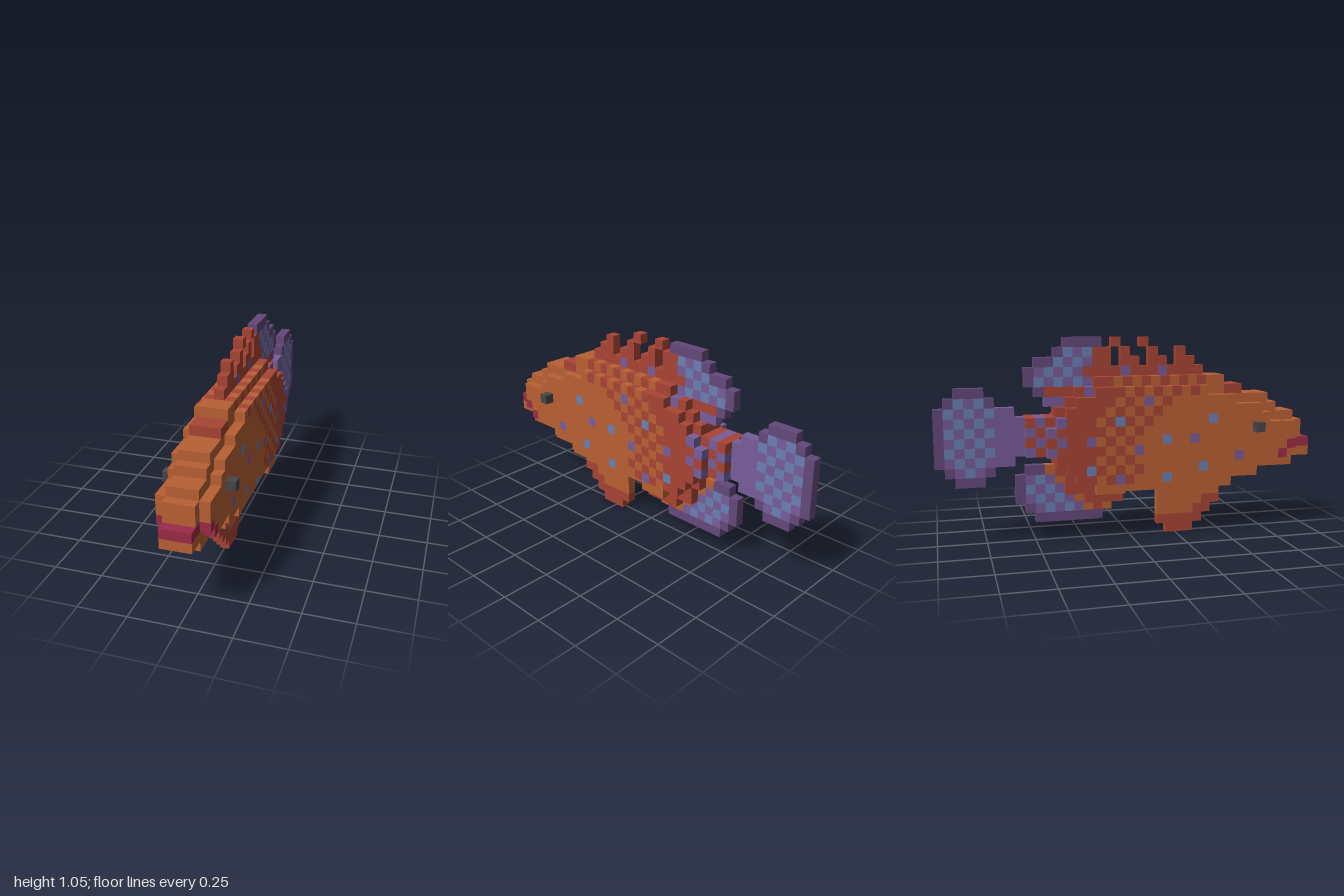
import * as THREE from 'three';

const S = 0.05; // cube size; column i runs from nose (0) to tail (39), row j runs upward

const mat = (name, color) => Object.assign(new THREE.MeshStandardMaterial({ color }), { name });
const materials = [
  mat('orange', 0xb96033), mat('red', 0xa84434), mat('crimson', 0x9c2b47), mat('purple', 0x785c9a),
  mat('darkPurple', 0x64487a), mat('blue', 0x6b7fb3), mat('charcoal', 0x464646),
];
const [ORANGE, RED, CRIMSON, PURPLE, DARK, BLUE, CHARCOAL] = materials.keys();

// Runs of columns: [first column, bottom row, top row (exclusive)], ending at column "end"
const core = { end: 31, runs: [[0, 8, 10], [1, 8, 12], [2, 7, 13], [4, 7, 14], [5, 7, 15], [6, 6, 15], [8, 6, 16],
  [9, 5, 16], [10, 5, 17], [21, 4, 17], [24, 4, 16], [25, 5, 16], [26, 5, 15], [27, 7, 14], [28, 9, 13]] };
const flank = { end: 29, runs: [[2, 9, 12], [3, 8, 12], [5, 8, 13], [6, 8, 14], [7, 7, 14], [9, 7, 15], [10, 6, 15],
  [12, 6, 16], [21, 5, 16], [24, 6, 15], [26, 7, 14], [27, 8, 13], [28, 9, 12]] };
const dorsal = { end: 23, runs: [[12, 17, 18], [13, 17, 19], [14, 17, 20], [15, 17, 18], [16, 17, 19], [17, 17, 20],
  [18, 17, 18], [19, 17, 19], [20, 17, 20], [21, 17, 18], [22, 17, 20]] };
const upper = { end: 31, runs: [[23, 14, 21], [27, 14, 20], [28, 14, 19], [29, 15, 19], [30, 16, 18]] };
const lower = { end: 32, runs: [[21, 4, 8], [22, 3, 8], [23, 2, 8], [30, 3, 8], [31, 4, 7]] };
const pelvic = { end: 17, runs: [[10, 3, 5], [11, 2, 5], [12, 1, 5], [13, 0, 5], [16, 1, 5]] };
const tail = { end: 40, runs: [[28, 9, 13], [32, 8, 14], [34, 7, 15], [35, 6, 16], [38, 7, 15], [39, 8, 14]] };

const inside = ({ end, runs }, i, j) => {
  if (i < runs[0][0] || i >= end) return false;
  const run = runs.findLast((r) => r[0] <= i);
  return j >= run[1] && j < run[2];
};
const checker = (i, j, a, b) => ((i + j) % 2 ? a : b);
const outline = (p, i, j) => !(inside(p, i + 1, j) && inside(p, i, j + 1) && inside(p, i, j - 1));

// Scattered scale spots
const spots = {};
[[8, 8], [13, 10], [19, 9], [18, 14], [24, 16], [24, 15], [24, 10], [16, 17], [20, 17], [21, 6], [27, 10], [27, 12], [28, 11]]
  .forEach((s) => { spots[s] = PURPLE; });
[[11, 12], [16, 10], [12, 7], [16, 6], [21, 12], [24, 7]].forEach((s) => { spots[s] = BLUE; });

// Colour rules for each part
function bodyColour(x, i, j) {
  if ((j === 9 && i < 3) || (j === 8 && i === 3)) return CRIMSON;
  if (spots[[i, j]] !== undefined) return spots[[i, j]];
  if (i >= 28) return checker(i, j, PURPLE, RED);
  if (j === 15 && (i === 8 || i === 9)) return RED;
  if (j === 16) return i < 11 ? ORANGE : i < 22 ? checker(i, j, ORANGE, RED) : RED;
  if (j < 6) return i < 21 ? ORANGE : j === 5 && i < 24 ? ORANGE : RED;
  if (j === 15 && i >= 12 && i < 20) return checker(i, j, ORANGE, RED);
  if (i < 19 - Math.max(0, j - 11)) return ORANGE;
  return i < 24 - Math.max(0, j - 13) ? checker(i, j, ORANGE, RED) : RED;
}
const dorsalColour = (x, i, j) => spots[[i, j]] ?? RED;
function upperColour(x, i, j) {
  if (outline(upper, i, j) && j > 14 && (i > 26 || j === 20)) return DARK;
  if (j === 14 && i > 26) return PURPLE;
  if (i - 23 < (20 - j) * 0.6 - 0.5 || j < 16) return spots[[i, j]] ?? RED;
  return checker(i, j, BLUE, PURPLE);
}
function lowerColour(x, i, j) {
  if ((j === 2 && i > 22) || (i > 28 && outline(lower, i, j))) return DARK;
  const d = i + (3 - j) * 1;
  if (d < 23) return ORANGE;
  if (d < 25) return checker(i, j, ORANGE, RED);
  return i + j < 28 ? RED : checker(i, j, BLUE, PURPLE);
}
const pelvicColour = (x, i, j) => (j < 2 || (i + j <= 14 && j < 4) ? RED : ORANGE);
function tailColour(x, i, j) {
  if (i < 31) return checker(i, j, PURPLE, RED);
  if (i < 34) return PURPLE;
  return outline(tail, i, j) ? DARK : checker(i, j, BLUE, PURPLE);
}

// Later parts yield to cubes already filled by earlier ones
const parts = [
  { name: 'body', colour: bodyColour, layers: [[0, core], [1, core], [-1, core], [2, flank], [-2, flank]] },
  { name: 'dorsalFin', colour: dorsalColour, layers: [[0, dorsal]], extra: [[0, 18, 20], [0, 21, 20]] },
  { name: 'upperRearFin', colour: upperColour, layers: [[0, upper]] },
  { name: 'lowerRearFin', colour: lowerColour, layers: [[0, lower]] },
  { name: 'pelvicFin', colour: pelvicColour, layers: [[0, pelvic]] },
  { name: 'tailFin', colour: tailColour, layers: [[0, tail]] },
  { name: 'eyes', colour: () => CHARCOAL, layers: [], extra: [[3, 6, 11], [-3, 6, 11]] },
];

// Exposed cube faces of one part, sorted into one geometry group per colour
function cubeMesh(part, cells, filled) {
  const buckets = materials.map(() => ({ pos: [], nor: [] }));
  for (const [x, i, j] of cells) {
    const centre = new THREE.Vector3(x * S, (j + 0.5) * S, 1 - (i + 0.5) * S);
    const { pos, nor } = buckets[part.colour(x, i, j)];
    for (let axis = 0; axis < 3; axis++) for (const s of [1, -1]) {
      const n = new THREE.Vector3().setComponent(axis, s);
      if (filled.has([x + n.x, i - n.z, j + n.y].join())) continue;
      const u = new THREE.Vector3().setComponent((axis + 1) % 3, 1);
      const v = new THREE.Vector3().setComponent((axis + 2) % 3, s);
      for (const [a, b] of [[-1, -1], [1, -1], [1, 1], [-1, -1], [1, 1], [-1, 1]]) {
        const p = centre.clone().addScaledVector(n, S / 2).addScaledVector(u, a * S / 2).addScaledVector(v, b * S / 2);
        pos.push(p.x, p.y, p.z);
        nor.push(n.x, n.y, n.z);
      }
    }
  }
  const geo = new THREE.BufferGeometry();
  let start = 0;
  buckets.forEach(({ pos }, m) => {
    if (pos.length) geo.addGroup(start, pos.length / 3, m);
    start += pos.length / 3;
  });
  geo.setAttribute('position', new THREE.Float32BufferAttribute(buckets.flatMap((b) => b.pos), 3));
  geo.setAttribute('normal', new THREE.Float32BufferAttribute(buckets.flatMap((b) => b.nor), 3));
  const mesh = new THREE.Mesh(geo, materials);
  mesh.name = part.name;
  return mesh;
}

export function createModel() {
  const group = new THREE.Group();
  group.name = 'fish';
  const filled = new Set();
  const cellLists = parts.map(({ layers, extra = [] }) => {
    const cells = [...extra];
    for (const [x, profile] of layers)
      for (let i = 0; i < 40; i++) for (let j = 0; j < 21; j++)
        if (inside(profile, i, j)) cells.push([x, i, j]);
    return cells.filter((c) => !filled.has(c.join()) && filled.add(c.join()));
  });
  parts.forEach((part, k) => group.add(cubeMesh(part, cellLists[k], filled)));
  return group;
}
